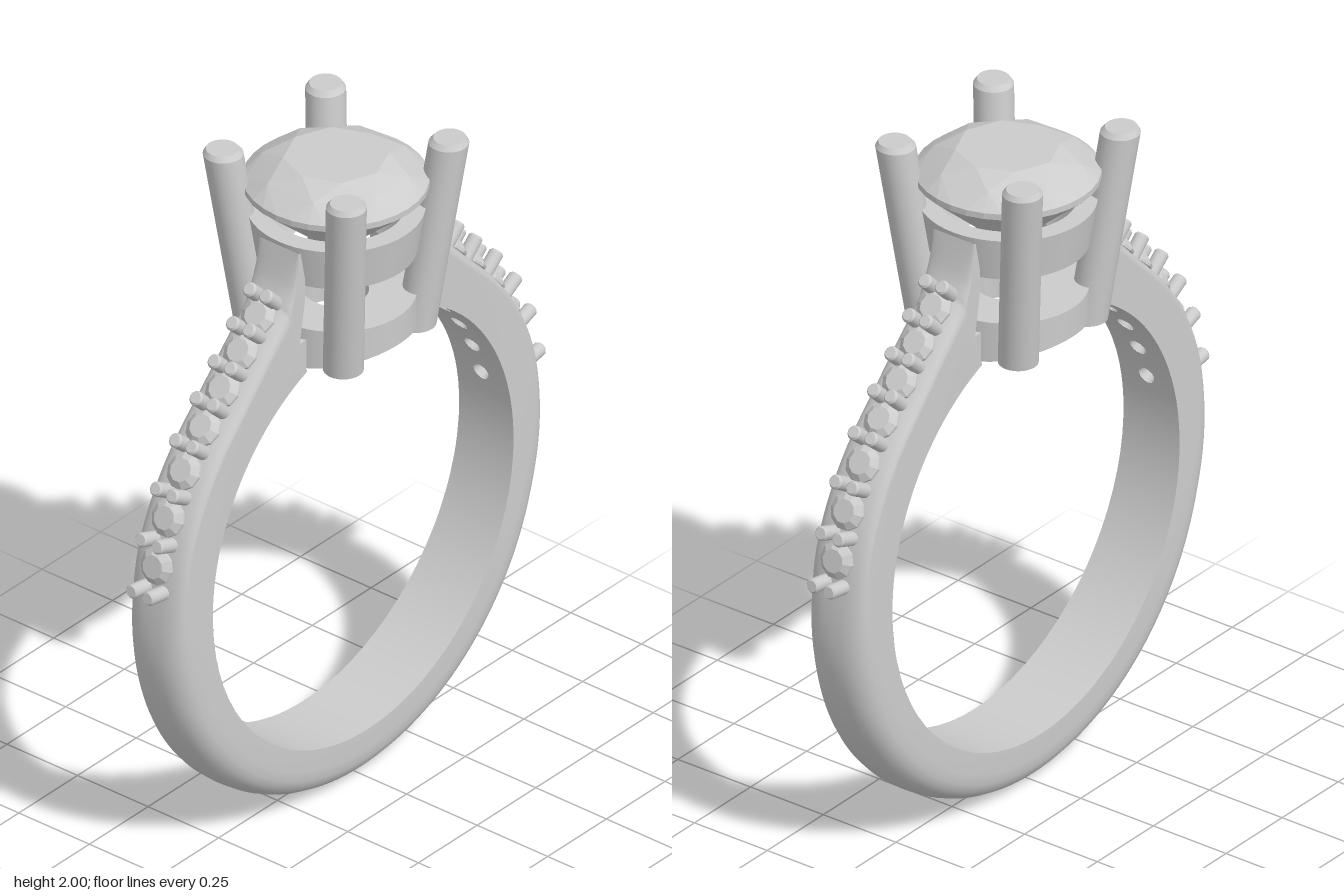
import * as THREE from 'three';
import { ConvexGeometry } from 'three/addons/geometries/ConvexGeometry.js';

const CY = 0.8, RI = 0.64;                    // finger hole centre height and radius
const rad = THREE.MathUtils.degToRad;
const V2 = (x, y) => new THREE.Vector2(x, y);
const polar = (deg, r) => V2(r * Math.cos(rad(deg)), CY + r * Math.sin(rad(deg)));
const halfWidth = (y) => 0.118 - 0.027 * y;   // band narrows towards the top
const outer = (deg) => polar(deg, deg < 10 ? 0.795 - 0.008 * THREE.MathUtils.smoothstep(deg, -10, 10)
  : 0.787 + 0.098 * Math.max(0, (deg - 45) / 25.8) ** 2);

const metal = new THREE.MeshStandardMaterial({ color: 0xcccccc });
const thin = new THREE.MeshStandardMaterial({ color: 0xcccccc, side: THREE.DoubleSide });
const faceted = new THREE.MeshStandardMaterial({ color: 0xcccccc, flatShading: true });

function add(parent, name, geometry, material = metal) {
  const mesh = new THREE.Mesh(geometry, material);
  mesh.name = name;
  parent.add(mesh);
  return mesh;
}

// Lathe with a crease at every profile point
function creasedLathe(profile, segments) {
  const pts = profile.flatMap(([x, y], i) =>
    i > 0 && i < profile.length - 1 ? [V2(x, y), V2(x, y)] : [V2(x, y)]);
  return new THREE.LatheGeometry(pts, segments);
}

// Sweep a section of [u, v] points along rungs: u runs inside to outside, v across the width
function sweep(rungs, section) {
  const pos = [], index = [];
  const n = section(rungs[0]).length;
  rungs.forEach((r, i) => {
    const w = halfWidth(r.inner.y);
    for (const [u, v] of section(r)) {
      const p = r.inner.clone().lerp(r.outer, u);
      pos.push(p.x, p.y, v * w);
    }
    if (i === 0) return;
    for (let j = 0; j < n - 1; j++) {
      const a = (i - 1) * n + j, b = i * n + j;
      index.push(a, b, b + 1, a, b + 1, a + 1);
    }
  });
  const g = new THREE.BufferGeometry();
  g.setAttribute('position', new THREE.Float32BufferAttribute(pos, 3));
  g.setIndex(index);
  g.computeVertexNormals();
  return g;
}

// Domed band section, flatter on the shoulders
function domeSection({ flat }) {
  const start = 0.4 + 0.4 * flat, pts = [[0, -1]];
  for (let k = 0; k <= 12; k++) {
    const a = (Math.PI * k) / 12, c = Math.cos(a);
    pts.push([start + (1 - start) * Math.abs(Math.sin(a)) ** 0.8, -Math.sign(c) * Math.abs(c) ** 0.8]);
  }
  return [...pts, [0, 1]];
}

// One 10 degree piece of the inside of the band, with an optional drilled hole
function liningCell(deg, drilled) {
  const outline = [];
  for (const side of [-1, 1])
    for (let k = -2; k <= 2; k++) {
      const d = -side * k * 2.5;
      outline.push(V2(rad(d) * RI, side * halfWidth(polar(deg + d, RI).y)));
    }
  const shape = new THREE.Shape(outline);
  if (drilled) shape.holes.push(new THREE.Path().absarc(0, 0, 0.026, 0, Math.PI * 2, true));
  const g = new THREE.ShapeGeometry(shape, 8);
  const p = g.attributes.position, nor = g.attributes.normal;
  for (let i = 0; i < p.count; i++) {
    const a = rad(deg) + p.getX(i) / RI;
    p.setXYZ(i, RI * Math.cos(a), CY + RI * Math.sin(a), -p.getY(i));
    nor.setXYZ(i, -Math.cos(a), -Math.sin(a), 0);
  }
  return g;
}

function buildBand(group) {
  const right = [];
  for (let d = -90; d <= 70; d += 2.5)
    right.push({ inner: polar(d, RI), outer: outer(d), flat: THREE.MathUtils.smoothstep(d, -20, 20) });
  // shoulder tips sweeping up to the setting
  const tipInner = new THREE.SplineCurve([V2(0.25, 1.49), V2(0.235, 1.56), V2(0.217, 1.67), V2(0.235, 1.785)]);
  const tipOuter = new THREE.SplineCurve([V2(0.295, 1.635), V2(0.272, 1.68), V2(0.257, 1.73), V2(0.243, 1.787)]);
  for (let k = 0; k <= 8; k++)
    right.push({ inner: tipInner.getPoint(k / 8), outer: tipOuter.getPoint(k / 8), flat: 1 });
  const flip = (r) => ({ inner: V2(-r.inner.x, r.inner.y), outer: V2(-r.outer.x, r.outer.y), flat: r.flat });
  const left = right.slice(1).reverse().map(flip);
  add(group, 'band', sweep([...left, ...right], domeSection));

  const under = () => [[0, 1], [0, -1]];
  add(group, 'leftShoulderUnderside', sweep(right.slice(-10), under), thin);
  add(group, 'rightShoulderUnderside', sweep(left.slice(0, 10), under), thin);

  for (let d = 115; d <= 425; d += 10) {
    const drilled = Math.sin(rad(d)) > 0.2;
    add(group, 'bandInside', liningCell(d, drilled), thin);
    if (!drilled) continue;
    const hole = add(group, 'drilledHole', new THREE.ConeGeometry(0.026, 0.1, 16, 1, true), thin);
    const p = polar(d, RI + 0.05);
    hole.position.set(p.x, p.y, 0);
    hole.rotation.z = rad(d - 90);
  }

  // bridges joining the band to the lower gallery
  for (const s of [-1, 1]) {
    const low = [0.15, 0.2, 0.25, 0.3].map((x) => V2(s * x, CY + Math.sqrt(RI * RI - x * x)));
    const shape = new THREE.Shape([...low, V2(s * 0.3, 1.495), V2(s * 0.15, 1.495)]);
    const g = new THREE.ExtrudeGeometry(shape, { depth: 0.14, bevelEnabled: false });
    add(group, 'galleryBridge', g.translate(0, 0, -0.07));
  }
}

// Row of small stones held by pairs of beads on each shoulder
function buildAccents(group) {
  const beadAngles = [10, 20.3, 30.3, 40, 49, 57, 64.6, 70.8];
  const bead = creasedLathe([[0, -0.04], [0.021, -0.04], [0.021, 0.034], [0.016, 0.04], [0, 0.04]], 14);
  const stone = new THREE.LatheGeometry(
    [V2(0, -0.05), V2(0.054, -0.004), V2(0.054, 0.004), V2(0.034, 0.02), V2(0, 0.02)], 10);
  for (const s of [-1, 1]) {
    const place = (mesh, deg, lift, z) => {
      const t = outer(deg + 1).sub(outer(deg - 1)).normalize();
      const p = outer(deg).add(V2(t.y, -t.x).multiplyScalar(lift));
      mesh.position.set(s * p.x, p.y, z);
      mesh.rotation.z = s * Math.atan2(-t.y, -t.x);
    };
    beadAngles.forEach((deg, i) => {
      for (const z of [-0.029, 0.029]) place(add(group, 'bead', bead), deg, 0.025, z);
      if (i) place(add(group, 'accentStone', stone, faceted), (deg + beadAngles[i - 1]) / 2, 0.004, 0);
    });
  }
}

function buildSetting(group) {
  // four leaning prongs
  const lean = 0.065 / 0.59;
  for (const sx of [-1, 1])
    for (const sz of [-1, 1]) {
      const g = creasedLathe([[0, 0], [0.056, 0], [0.056, 0.575], [0.045, 0.59], [0, 0.59]], 28);
      g.applyMatrix4(new THREE.Matrix4().set(
        1, sx * lean, 0, sx * 0.155,
        0, 1, 0, 1.41,
        0, sz * lean, 1, sz * 0.155,
        0, 0, 0, 1));
      add(group, 'prong', g);
    }

  // collar under the gem
  add(group, 'collar', creasedLathe(
    [[0.13, 1.67], [0.225, 1.67], [0.245, 1.8], [0.19, 1.8], [0.13, 1.67]], 56));

  // lower gallery, its underside following the finger hole
  const g = creasedLathe([[0.09, 1.43], [0.222, 1.43], [0.222, 1.53], [0.09, 1.53], [0.09, 1.43]], 56);
  const p = g.attributes.position;
  for (let i = 0; i < p.count; i++)
    if (p.getY(i) < 1.45) p.setY(i, CY + Math.sqrt(RI * RI - p.getX(i) ** 2));
  add(group, 'lowerGallery', g);

  // brilliant cut centre gem
  const pts = [new THREE.Vector3(0, 1.655, 0)];
  const ring = (n, r, y, turn) => {
    for (let i = 0; i < n; i++) {
      const a = ((i + turn) / n) * Math.PI * 2;
      pts.push(new THREE.Vector3(r * Math.cos(a), y, r * Math.sin(a)));
    }
  };
  ring(8, 0.145, 1.96, 0);
  ring(8, 0.21, 1.93, 0.5);
  ring(32, 0.256, 1.89, 0);
  ring(32, 0.256, 1.872, 0);
  ring(8, 0.075, 1.712, 0.5);
  add(group, 'centreGem', new ConvexGeometry(pts), faceted);
}

export function createModel() {
  const model = new THREE.Group();
  model.name = 'ring';
  for (const [name, build] of [['bandGroup', buildBand], ['accents', buildAccents], ['setting', buildSetting]]) {
    const group = new THREE.Group();
    group.name = name;
    build(group);
    model.add(group);
  }
  return model;
}
